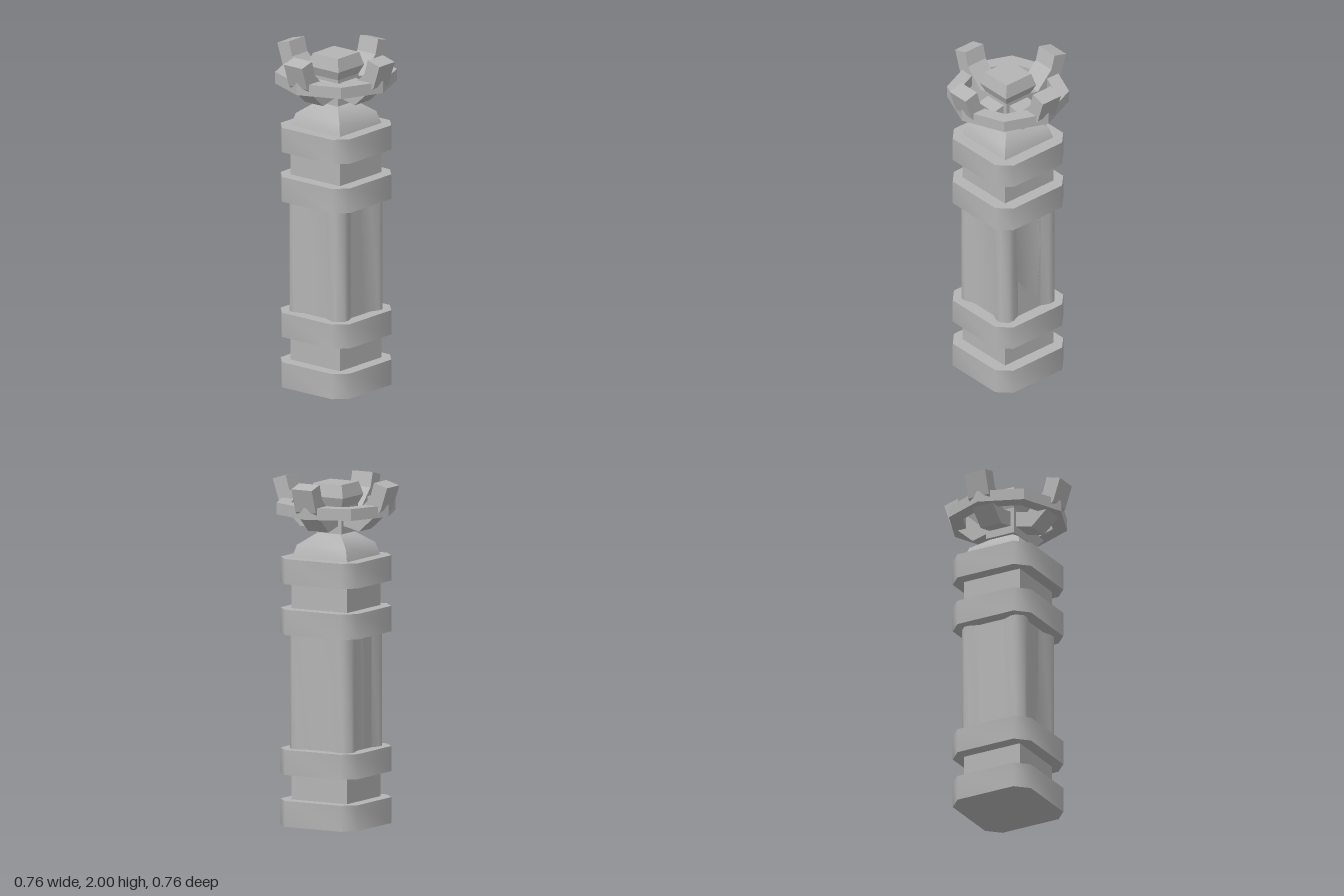
import * as THREE from 'three';
import { toCreasedNormals } from 'three/addons/utils/BufferGeometryUtils.js';

const stone = new THREE.MeshStandardMaterial({ color: 0xb4b4b4 });
stone.name = 'grey stone';

function part(name, geometry, parent, crease = 0.82) {
  const mesh = new THREE.Mesh(toCreasedNormals(geometry, crease), stone);
  mesh.name = name;
  parent.add(mesh);
  return mesh;
}

const toShape = (pts) => new THREE.Shape(pts.map(([x, y]) => new THREE.Vector2(x, y)));

// Repeats one corner of a plan outline around the four corners
function fourCorners(corner) {
  const pts = [];
  for (let i = 0; i < 4; i++) {
    const c = Math.round(Math.cos(i * Math.PI / 2)), s = Math.round(Math.sin(i * Math.PI / 2));
    corner.forEach(([x, y]) => pts.push([x * c - y * s, x * s + y * c]));
  }
  return toShape(pts);
}

// Upright prism between two heights
function prism(shape, y0, y1) {
  const g = new THREE.ExtrudeGeometry(shape, { depth: y1 - y0, bevelEnabled: false });
  return g.rotateX(-Math.PI / 2).translate(0, y0, 0);
}

// Square tower turned from [halfWidth, y] pairs
function squareLathe(profile) {
  const pts = profile.map(([w, y]) => new THREE.Vector2(w * Math.SQRT2, y));
  return new THREE.LatheGeometry(pts, 4, Math.PI / 4);
}

const octagon = (r) => Array.from({ length: 8 }, (_, i) =>
  [r * Math.cos(i * Math.PI / 4), r * Math.sin(i * Math.PI / 4)]);

export function createModel() {
  const model = new THREE.Group();
  model.name = 'pillar';

  // Square core, seen in the gaps between bands
  part('core', new THREE.BoxGeometry(0.37, 1.53, 0.37).translate(0, 0.775, 0), model);

  // Shaft with raised corner posts
  const post = fourCorners([
    [0.185, -0.085], [0.185, 0.085], [0.206, 0.135], [0.206, 0.17],
    [0.17, 0.206], [0.135, 0.206],
  ]);
  part('shaft', prism(post, 0.44, 1.12), model);

  // Chamfered bands
  const band = fourCorners([[0.258, 0.185], [0.185, 0.258]]);
  [[0, 0.15], [0.3, 0.445], [1.108, 1.255], [1.402, 1.548]].forEach(([a, b], i) =>
    part('band' + (i + 1), prism(band, a, b), model));

  // Curved pyramid roof, neck and bevelled block
  part('roof', squareLathe([[0.185, 1.545], [0.163, 1.62], [0.07, 1.692], [0, 1.692]]), model);
  part('neck', new THREE.BoxGeometry(0.184, 0.18, 0.184).translate(0, 1.78, 0), model);
  part('topBlock', squareLathe([
    [0, 1.83], [0.085, 1.83], [0.114, 1.9], [0.094, 1.975], [0, 1.975],
  ]), model, 0.3);

  // Eight-sided ring
  const ring = toShape(octagon(0.35));
  ring.holes.push(new THREE.Path(octagon(0.265).map(([x, y]) => new THREE.Vector2(x, y))));
  part('ring', prism(ring, 1.8, 1.868), model, 0.3);

  // Four bent prongs
  const prong = toShape([
    [0.03, 1.75], [0.195, 1.712], [0.337, 1.84], [0.382, 1.976],
    [0.294, 2], [0.27, 1.915], [0.167, 1.81], [0.03, 1.84],
  ]);
  for (let i = 0; i < 4; i++) {
    const g = new THREE.ExtrudeGeometry(prong, { depth: 0.136, bevelEnabled: false });
    g.translate(0, 0, -0.068);
    part('prong' + (i + 1), g, model, 0.3).rotation.y = i * Math.PI / 2;
  }
  return model;
}
